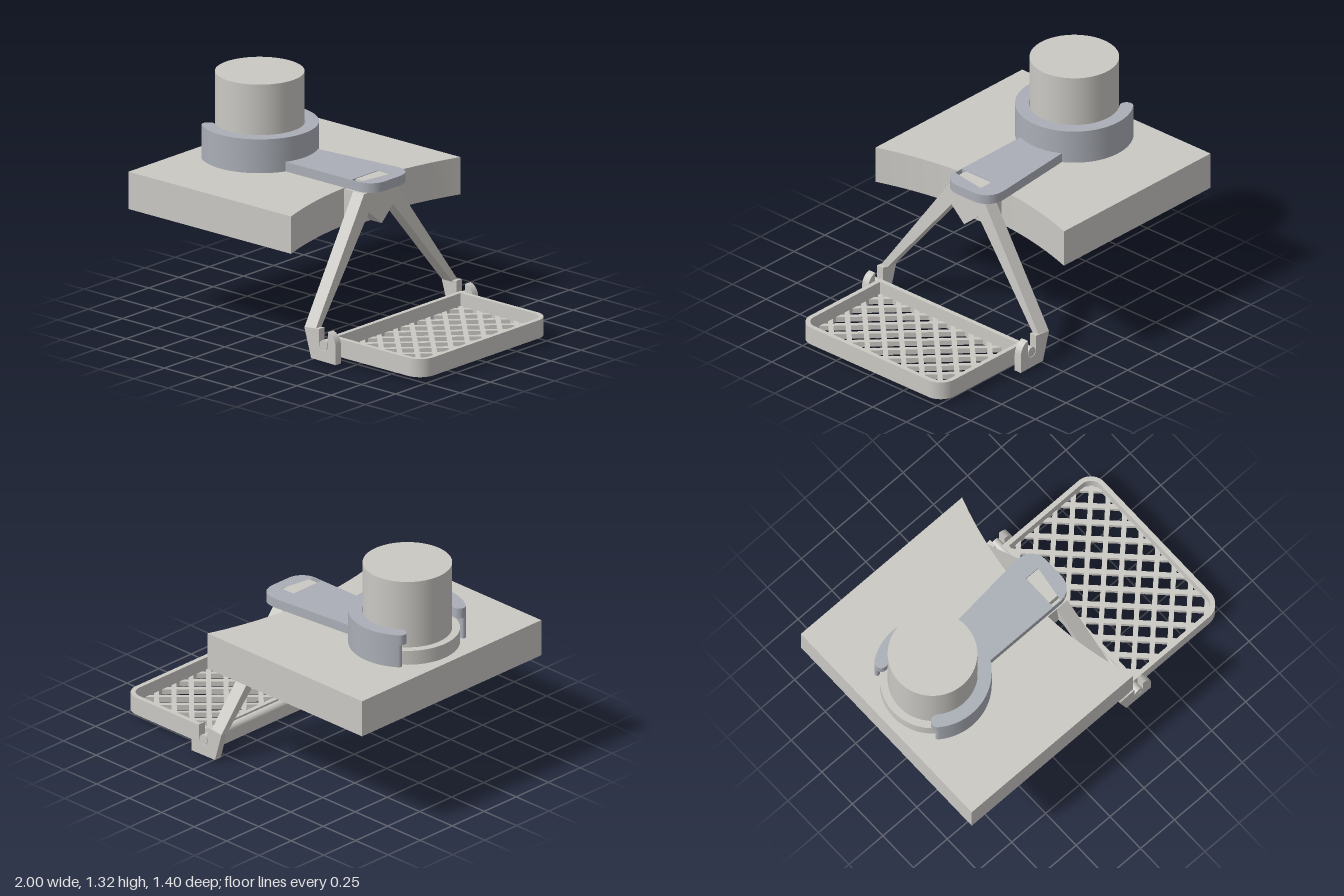
import * as THREE from 'three';
import { toCreasedNormals } from 'three/addons/utils/BufferGeometryUtils.js';

export function createModel() {
  const model = new THREE.Group();
  const grey = new THREE.MeshStandardMaterial({ name: 'warm grey', color: 0xcac8c3 });
  const blue = new THREE.MeshStandardMaterial({ name: 'blue grey', color: 0xaaaeb6 });

  const add = (name, geometry, material = grey, parent = model) => {
    const mesh = new THREE.Mesh(geometry, material);
    mesh.name = name;
    parent.add(mesh);
    return mesh;
  };
  const box = (x0, x1, y0, y1, z0, z1) => new THREE.BoxGeometry(x1 - x0, y1 - y0, z1 - z0)
    .translate((x0 + x1) / 2, (y0 + y1) / 2, (z0 + z1) / 2);
  const extrude = (shape, depth) => toCreasedNormals(
    new THREE.ExtrudeGeometry(shape, { depth, bevelEnabled: false, curveSegments: 32 }), 0.5);
  // Plan shapes use (x, -z) and rise from y0 to y1.
  const slabOf = (shape, y0, y1) => extrude(shape, y1 - y0).rotateX(-Math.PI / 2).translate(0, y0, 0);
  const polygon = (points) => new THREE.Shape(points.map(([x, y]) => new THREE.Vector2(x, y)));

  // Wall section with a concave outer edge
  const wall = new THREE.Shape();
  wall.moveTo(-1, -0.7);
  wall.lineTo(0.19, -0.7);
  wall.quadraticCurveTo(-0.05, 0, 0.19, 0.7);
  wall.lineTo(-1, 0.7);
  add('wall', slabOf(wall, 0.62, 0.835));

  // Post with its flange
  const px = -0.659;
  add('post', new THREE.CylinderGeometry(0.246, 0.246, 0.485, 64).translate(px, 1.0775, 0));
  add('postFlange', new THREE.CylinderGeometry(0.289, 0.289, 0.085, 64).translate(px, 0.8775, 0));

  // C-shaped clamp: a slim skirt around the flange and a wider lip on the post
  const ring = (inner, outer) => {
    const a = 2.205, mid = (inner + outer) / 2, cap = (outer - inner) / 2;
    const cx = px + mid * Math.cos(a), cy = mid * Math.sin(a);
    const s = new THREE.Shape();
    s.absarc(px, 0, outer, -a, a, false);
    s.absarc(cx, cy, cap, a, a + Math.PI, false);
    s.absarc(px, 0, inner, a, -a, true);
    s.absarc(cx, -cy, cap, Math.PI - a, 2 * Math.PI - a, false);
    return s;
  };
  const clamp = new THREE.Group();
  clamp.name = 'clamp';
  model.add(clamp);
  add('clampSkirt', slabOf(ring(0.295, 0.325), 0.835, 0.97), blue, clamp);
  add('clampLip', slabOf(ring(0.25, 0.325), 0.97, 1.03), blue, clamp);

  // Clamp arm with a slot for the frame's peg
  const arm = new THREE.Shape();
  arm.moveTo(-0.385, -0.125);
  arm.lineTo(0.17, -0.125);
  arm.bezierCurveTo(0.23, -0.125, 0.275, -0.08, 0.275, -0.02);
  arm.lineTo(0.275, 0.1);
  arm.bezierCurveTo(0.275, 0.17, 0.23, 0.22, 0.15, 0.215);
  arm.lineTo(-0.385, 0.163);
  arm.holes.push(polygon([[0.12, -0.12], [0.12, 0.1], [0.21, 0.1], [0.21, -0.12]]));
  add('clampArm', slabOf(arm, 0.835, 0.89), blue, clamp);
  add('framePeg', box(0.122, 0.208, 0.78, 0.888, -0.098, 0.09));

  // Leaning A-frame, with its spacer against the wall
  const half = [[0.13, 0.83], [0.59, 0.17], [0.545, 0.17], [0.1, 0.72]];
  const outline = [...half, [0, 0.635], ...half.map(([z, y]) => [-z, y]).reverse()];
  const frame = extrude(polygon(outline.reverse()), 0.08).rotateY(Math.PI / 2).translate(0.14, 0, 0);
  const pos = frame.attributes.position;
  for (let i = 0; i < pos.count; i++) pos.setX(i, pos.getX(i) + 0.077 * (0.83 - pos.getY(i)));
  add('supportFrame', toCreasedNormals(frame, 0.5));
  add('frameSpacer', box(0.07, 0.152, 0.635, 0.83, -0.13, 0.13));

  // Hinge brackets with an open slot
  const bracket = new THREE.Shape();
  bracket.moveTo(0.19, 0.172);
  bracket.lineTo(0.24, 0.003);
  bracket.lineTo(0.42, 0);
  bracket.lineTo(0.42, 0.1);
  bracket.quadraticCurveTo(0.415, 0.165, 0.362, 0.178);
  bracket.lineTo(0.362, 0.095);
  bracket.absarc(0.33, 0.095, 0.032, 0, -Math.PI, true);
  bracket.lineTo(0.298, 0.135);
  bracket.lineTo(0.298, 0.182);
  for (const side of [1, -1]) {
    add(side > 0 ? 'frontBracket' : 'backBracket',
      extrude(bracket, 0.045).translate(0, 0, side * 0.5675 - 0.0225));
  }

  // Tray rim, rounded at the outer corners
  const tray = new THREE.Group();
  tray.name = 'tray';
  model.add(tray);
  const rimPath = (target, x0, x1, w, r) => {
    target.moveTo(x0, -w);
    target.lineTo(x1 - r, -w);
    target.absarc(x1 - r, -w + r, r, -Math.PI / 2, 0, false);
    target.lineTo(x1, w - r);
    target.absarc(x1 - r, w - r, r, 0, Math.PI / 2, false);
    target.lineTo(x0, w);
    target.closePath();
    return target;
  };
  const rim = rimPath(new THREE.Shape(), 0.335, 1, 0.535, 0.1);
  rim.holes.push(rimPath(new THREE.Path(), 0.362, 0.973, 0.508, 0.073));
  add('trayRim', slabOf(rim, 0.03, 0.135), grey, tray);

  // Hinge rod along the inner edge
  add('hingeRod', new THREE.CylinderGeometry(0.029, 0.029, 1.18, 32)
    .rotateX(Math.PI / 2).translate(0.33, 0.095, 0), grey, tray);
  add('hingeBar', box(0.302, 0.358, 0.03, 0.095, -0.535, 0.535), grey, tray);

  // Diagonal lattice floor, each bar clipped to the inside of the rim
  const limits = [[1, 0, 0.985], [-1, 0, -0.35], [0, 1, 0.52], [0, -1, 0.52], [1, 1, 1.455], [1, -1, 1.455]];
  const pitch = 0.135;
  for (const dir of [1, -1]) {
    for (let k = -6; k <= 6; k++) {
      const ox = 0.667, oz = (k + 0.5) * pitch;
      let t0 = -2, t1 = 2;
      for (const [nx, nz, d] of limits) {
        const slope = nx + nz * dir, room = d - nx * ox - nz * oz;
        if (Math.abs(slope) < 1e-6) { if (room < 0) t1 = -9; }
        else if (slope > 0) t1 = Math.min(t1, room / slope);
        else t0 = Math.max(t0, room / slope);
      }
      if (t1 - t0 < 0.02) continue;
      const t = (t0 + t1) / 2;
      const bar = add('latticeBar',
        new THREE.BoxGeometry((t1 - t0) * Math.SQRT2, 0.03, 0.028), grey, tray);
      bar.rotation.y = -dir * Math.PI / 4;
      bar.position.set(ox + t, 0.046, oz + t * dir);
    }
  }
  return model;
}
